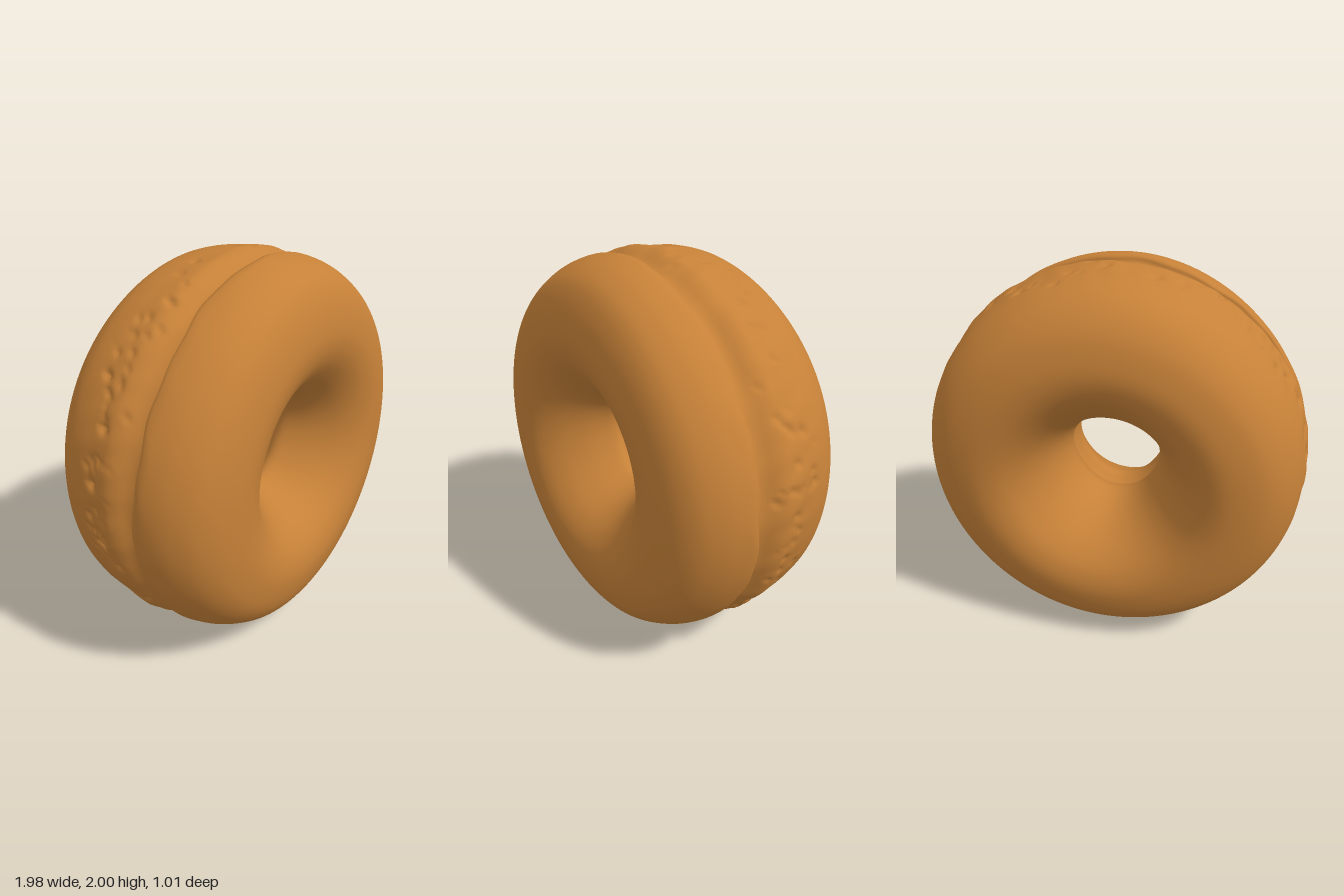
import * as THREE from 'three';

// Cross-section of the ring as [radius, z]: outer seam, front, hole, back
const PROFILE = [
  [0.945, 0.122], [0.95, 0.14], [0.974, 0.138], [0.986, 0.165], [0.98, 0.23], [0.955, 0.31], [0.9, 0.395],
  [0.82, 0.452], [0.72, 0.487], [0.61, 0.498], [0.51, 0.473], [0.41, 0.405], [0.32, 0.295], [0.265, 0.195],
  [0.238, 0.12], [0.246, 0.085], [0.266, 0.055], [0.262, 0.025], [0.245, -0.01], [0.237, -0.055], [0.258, -0.14],
  [0.32, -0.27], [0.41, -0.392], [0.5, -0.462], [0.6, -0.488], [0.7, -0.476], [0.8, -0.44], [0.88, -0.38],
  [0.94, -0.295], [0.97, -0.2], [0.984, -0.11], [0.992, -0.05], [0.995, 0.0], [0.98, 0.045], [0.957, 0.085],
];
const AROUND = 360, ACROSS = 160;

function seeded(seed) {
  return () => (seed = (seed * 16807) % 2147483647) / 2147483647;
}

// Wavy value that repeats around the ring
const ripple = (a, p) =>
  Math.sin(5 * a + p) * 0.4 + Math.sin(11 * a + 2.3 * p) * 0.35 + Math.sin(23 * a + 1.7 * p) * 0.25;

const bump = (x, width) => Math.exp(-(x * x) / (width * width));

// Baked pores in a rough band behind the seam, mostly on the sides
function makePores() {
  const random = seeded(71), pores = [];
  while (pores.length < 200) {
    const angle = random() * Math.PI * 2;
    const z = -0.07 + (random() + random() - 1) * 0.14;
    const size = 0.009 + random() * 0.011;
    if (random() < 0.3 + 0.7 * Math.abs(Math.cos(angle))) pores.push({ angle, z, size });
  }
  return pores;
}

function ringGeometry() {
  const curve = new THREE.CatmullRomCurve3(
    PROFILE.map(([r, z]) => new THREE.Vector3(r, 0, z)), true, 'centripetal');
  const section = curve.getSpacedPoints(ACROSS).slice(0, ACROSS);
  const pores = makePores();
  const positions = [], indices = [];

  for (let i = 0; i < AROUND; i++) {
    const a = (i / AROUND) * Math.PI * 2;
    const near = pores.filter(p => Math.abs(Math.sin((a - p.angle) / 2)) < 0.04);
    for (let j = 0; j < ACROSS; j++) {
      let { x: r, z } = section[j];
      const outer = THREE.MathUtils.smoothstep(r, 0.78, 0.95);
      const inner = 1 - THREE.MathUtils.smoothstep(r, 0.24, 0.45);
      const face = 1 - Math.max(outer, inner);

      // Slightly three-sided hole
      r += inner * 0.01 * (Math.sin(3 * a) - 0.3);

      // Front fuller at the bottom, back fuller towards the upper corners
      if (z > 0) z -= face * 0.009 * Math.sin(a);
      else z -= face * 0.009 * (Math.sin(3 * a) + Math.sin(a));

      if (outer > 0) {
        // Flattened sides, front half drawn in on the diagonals
        const front = THREE.MathUtils.smoothstep(z, 0.12, 0.16);
        r -= outer * (0.008 * Math.cos(a) ** 2 + front * 0.014 * Math.sin(2 * a) ** 2);

        // Wandering seam and crinkled crust
        const seam = bump(z - 0.14, 0.07);
        const crust = bump(z + 0.06, 0.13) * outer;
        r += seam * outer * 0.004 * ripple(a, 1);
        r += crust * 0.006 * ripple(a * 2, 9 * z);
        for (const p of near) {
          const da = Math.sin(a - p.angle), dz = z - p.z;
          r -= outer * p.size * 0.9 * Math.exp(-(da * da + dz * dz) / (p.size * p.size));
        }
        z += seam * outer * 0.017 * ripple(a, 0.6);
      }
      positions.push(r * Math.cos(a), 1 + r * Math.sin(a), z);

      const i2 = (i + 1) % AROUND, j2 = (j + 1) % ACROSS;
      const p = i * ACROSS + j, q = i2 * ACROSS + j, s = i2 * ACROSS + j2, t = i * ACROSS + j2;
      indices.push(p, q, s, p, s, t);
    }
  }
  const geometry = new THREE.BufferGeometry();
  geometry.setAttribute('position', new THREE.Float32BufferAttribute(positions, 3));
  geometry.setIndex(indices);
  geometry.computeVertexNormals();
  return geometry;
}

export function createModel() {
  const model = new THREE.Group();
  model.name = 'ringBun';
  const crust = new THREE.MeshStandardMaterial({ color: 0xc68138 });
  crust.name = 'golden brown crust';
  const ring = new THREE.Mesh(ringGeometry(), crust);
  ring.name = 'doughRing';
  model.add(ring);
  return model;
}
